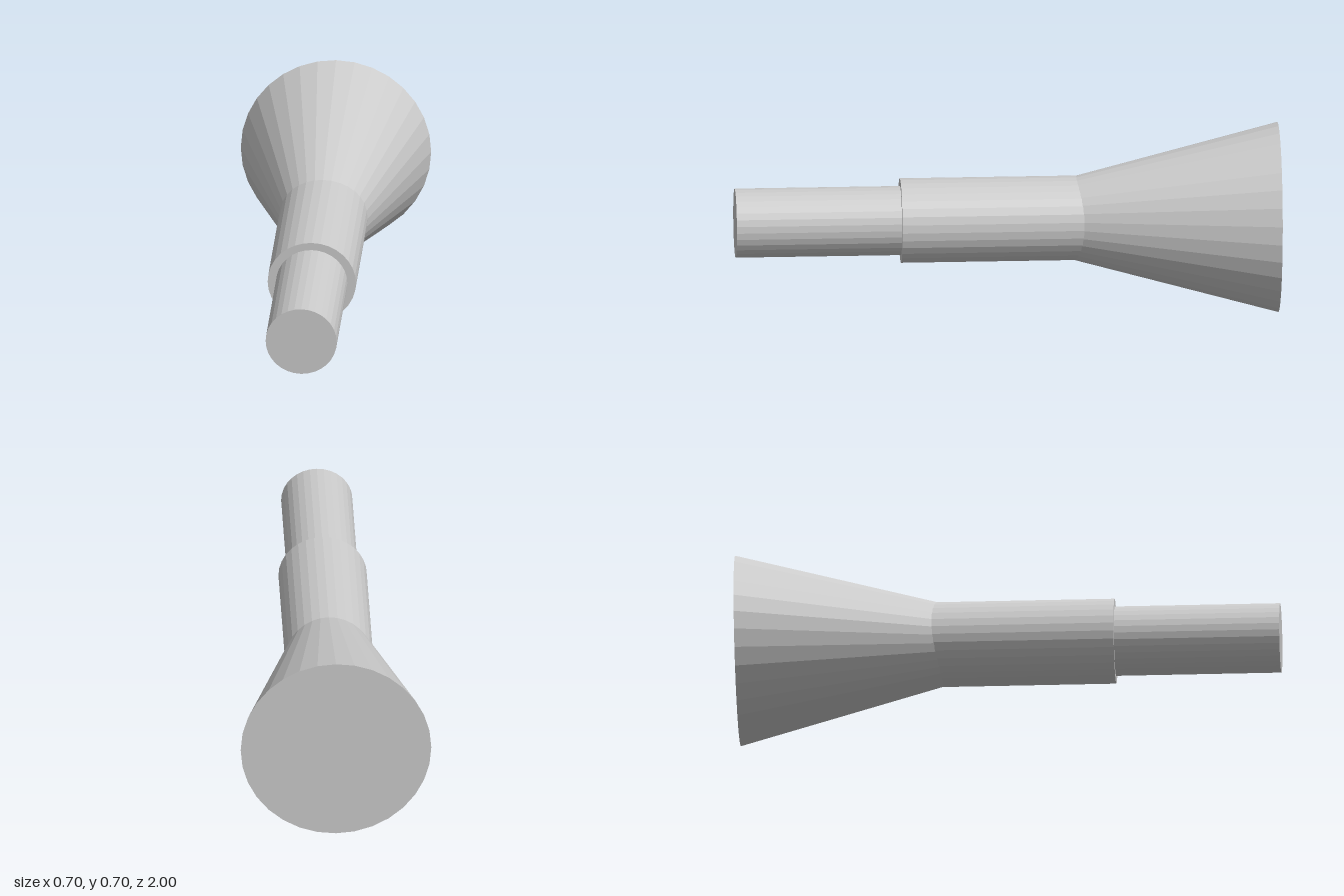
import * as THREE from 'three';

const SIDES = 32;
const AXIS_Y = 0.36;

export function createModel() {
  const model = new THREE.Group();
  const material = new THREE.MeshStandardMaterial({ color: 0xcccccc, flatShading: true });

  // Capped round section lying along z, with separate front and back radii
  function section(name, frontRadius, backRadius, length) {
    const geometry = new THREE.CylinderGeometry(frontRadius, backRadius, length, SIDES);
    geometry.rotateX(Math.PI / 2);
    const mesh = new THREE.Mesh(geometry, material);
    mesh.name = name;
    model.add(mesh);
    return mesh;
  }

  // Straight, slightly flattened rod between two z positions
  function rod(name, halfWidth, halfHeight, front, back) {
    const mesh = section(name, 1, 1, front - back);
    mesh.scale.set(halfWidth, halfHeight, 1);
    mesh.position.set(0, AXIS_Y, (front + back) / 2);
  }

  rod('frontShaft', 0.131, 0.127, 1, 0.3);
  rod('sleeve', 0.1625, 0.155, 0.392, -0.4);

  // Flared cone, pivoting on its wide end and drooping slightly to the back
  const length = 0.8;
  const cone = section('flaredCone', 0.1413, 0.3505, length);
  cone.geometry.translate(0, 0, length / 2);
  cone.position.set(0, 0.3505, -0.9961);
  cone.rotation.x = -0.011;

  return model;
}
